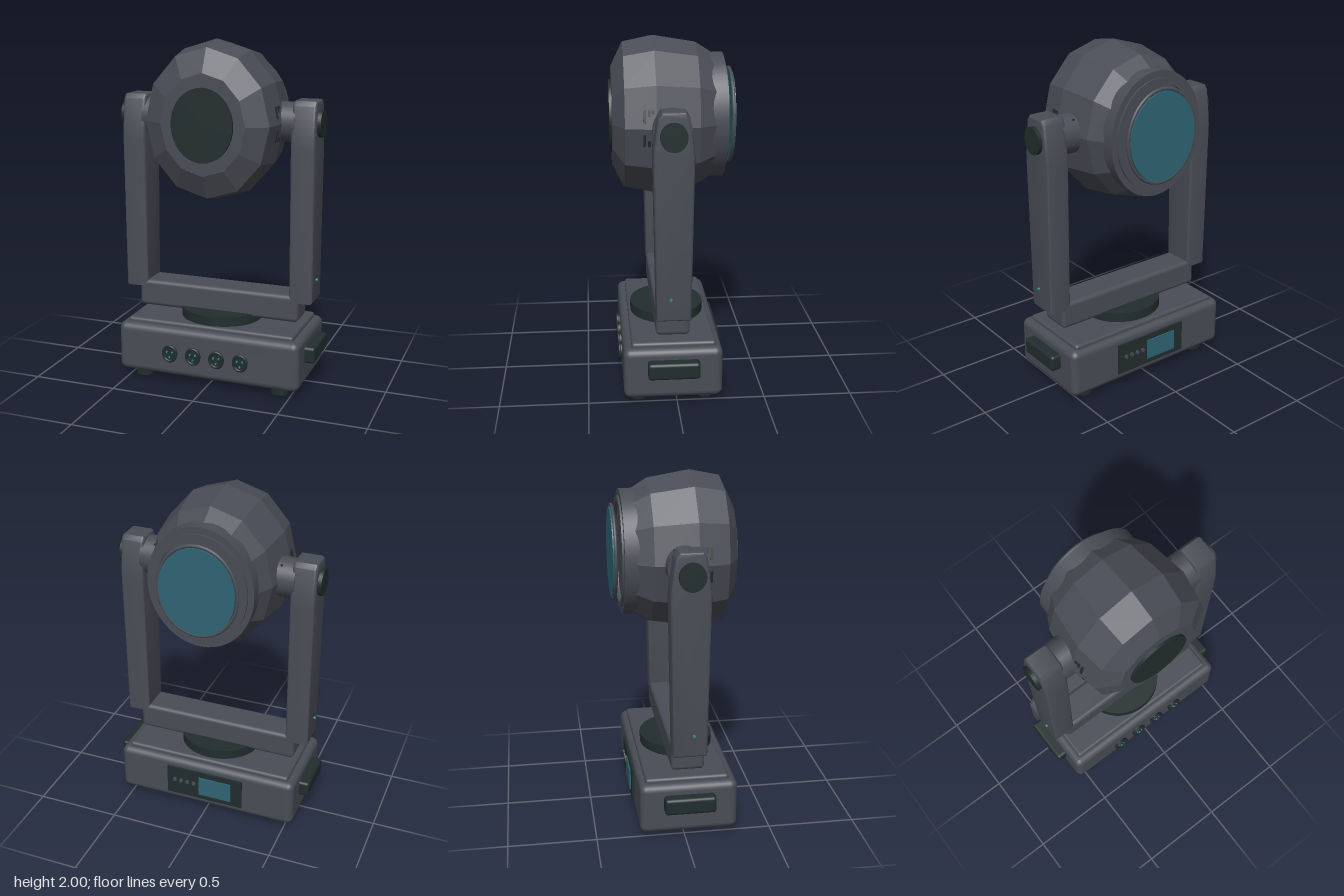
import * as THREE from 'three';
import { toCreasedNormals } from 'three/addons/utils/BufferGeometryUtils.js';
import { RoundedBoxGeometry } from 'three/addons/geometries/RoundedBoxGeometry.js';

const paint = (name, color) => {
  const m = new THREE.MeshStandardMaterial({ color });
  m.name = name;
  return m;
};

export function createModel() {
  const model = new THREE.Group();
  model.name = 'movingHeadLight';
  const grey = paint('housingGrey', 0x4a4d56);
  const dark = paint('darkTrim', 0x222d2d);
  const blue = paint('lensBlue', 0x2f6573);
  const teal = paint('indicatorTeal', 0x2a9088);

  const SQUASH = 0.868; // the head is narrower in x than in y
  const HEAD_Y = 1.545;
  const MID_Z = 0.0225;

  const add = (name, geometry, material, x = 0, y = 0, z = 0, parent = model) => {
    const mesh = new THREE.Mesh(geometry, material);
    mesh.name = name;
    mesh.position.set(x, y, z);
    parent.add(mesh);
    return mesh;
  };
  const rounded = (w, h, d, r) => new RoundedBoxGeometry(w, h, d, 3, r);
  const box = (w, h, d) => new THREE.BoxGeometry(w, h, d);
  // Elliptical discs facing each axis
  const discZ = (rx, ry, depth, n = 40) =>
    new THREE.CylinderGeometry(1, 1, depth, n).rotateX(Math.PI / 2).scale(rx, ry, 1);
  const discX = (ry, rz, depth, n = 32) =>
    new THREE.CylinderGeometry(1, 1, depth, n).rotateZ(Math.PI / 2).scale(1, ry, rz);
  const discY = (rx, rz, depth, n = 32) =>
    new THREE.CylinderGeometry(1, 1, depth, n).scale(rx, 1, rz);
  // Turned shape around z, from [radius, z] pairs running back to front
  const turnedZ = (profile, n) =>
    new THREE.LatheGeometry(profile.map(([r, z]) => new THREE.Vector2(r, z)), n)
      .rotateX(Math.PI / 2).scale(SQUASH, 1, 1);

  // Base
  add('base', rounded(1.11, 0.295, 0.555, 0.04), grey, 0, 0.1875, MID_Z);
  add('baseTopPlate', rounded(1.02, 0.07, 0.475, 0.018), grey, 0, 0.325, 0.0175);
  for (const x of [-0.425, 0.425])
    for (const z of [-0.165, 0.215])
      add('foot', discY(0.052, 0.046, 0.06, 24), dark, x, 0.03, z);
  for (const s of [-1, 1])
    add('sideHandle', rounded(0.08, 0.097, 0.29, 0.018), dark, s * 0.575, 0.2275, 0.0225);

  // Front sockets with three pins each
  for (const x of [-0.22, -0.075, 0.07, 0.215]) {
    const socket = new THREE.Group();
    socket.name = 'socket';
    socket.position.set(x, 0.185, 0.3);
    model.add(socket);
    add('socketFace', discZ(0.044, 0.05, 0.02, 28), dark, 0, 0, 0.003, socket);
    add('socketRim', new THREE.TorusGeometry(0.043, 0.008, 8, 28).scale(0.94, 1.06, 1),
      dark, 0, 0, 0.014, socket);
    for (let i = 0; i < 3; i++) {
      const a = Math.PI / 6 + i * Math.PI * 2 / 3;
      add('socketPin', discZ(0.005, 0.006, 0.01, 10), teal,
        Math.cos(a) * 0.019, Math.sin(a) * 0.021, 0.016, socket);
    }
  }

  // Rear control panel
  add('controlPanel', box(0.48, 0.19, 0.02), dark, 0, 0.19, -0.258);
  add('displayScreen', box(0.205, 0.125, 0.008), blue, -0.07, 0.19, -0.271);
  for (let i = 0; i < 4; i++)
    add('panelButton', discZ(0.012, 0.013, 0.01, 16), grey, 0.19 - i * 0.041, 0.2, -0.271);

  // Yoke
  add('turntable', discY(0.24, 0.215, 0.065, 40), dark, 0, 0.385, 0.025);
  add('yokeCrossbar', rounded(0.99, 0.16, 0.19, 0.025), grey, 0, 0.475, MID_Z);
  const side = new THREE.Shape([
    [-0.117, 0.515], [0.072, 0.515], [0.088, 1.42], [0.084, 1.48], [0.06, 1.645], [0.04, 1.672],
    [-0.085, 1.672], [-0.105, 1.645], [-0.129, 1.48], [-0.133, 1.42],
  ].map(([x, y]) => new THREE.Vector2(x, y)));
  const armGeometry = toCreasedNormals(new THREE.ExtrudeGeometry(side, {
    depth: 0.106, bevelThickness: 0.017, bevelSize: 0.017, bevelOffset: -0.017, bevelSegments: 3,
  }).translate(0, 0, -0.053).rotateY(Math.PI / 2), 0.5);
  for (const s of [-1, 1]) {
    add('yokeArm', armGeometry, grey, s * 0.51, 0, 0);
    add('pivotCap', discX(0.078, 0.073, 0.03), dark, s * 0.587, HEAD_Y, 0.025);
    add('pivotHub', discX(0.1125, 0.106, 0.14), grey, s * 0.39, HEAD_Y, 0.02);
    add('armIndicator', discX(0.008, 0.008, 0.014, 12), teal, s * 0.584, 0.645, 0.04);
    for (const v of [-1, 1])
      add('hubNotch', box(0.014, 0.012, 0.012), dark, s * 0.375, HEAD_Y + v * 0.089, -0.04);
  }

  // Head
  const head = new THREE.Group();
  head.name = 'head';
  head.position.y = HEAD_Y;
  model.add(head);
  const shell = turnedZ([[0, -0.27], [0.3, -0.27], [0.355, -0.235], [0.415, -0.14], [0.455, 0.1],
    [0.42, 0.27], [0.285, 0.335], [0, 0.335]], 12).toNonIndexed();
  shell.computeVertexNormals();
  add('headShell', shell, grey, 0, 0, 0, head);
  add('headFrontCap', discZ(0.18, 0.207, 0.03), dark, 0, 0, 0.335, head);
  const collar = turnedZ([[0, -0.285], [0.285, -0.285], [0.285, -0.306], [0.317, -0.306],
    [0.317, -0.295], [0.356, -0.295], [0.356, -0.12]], 48);
  add('lensCollar', toCreasedNormals(collar, 0.5), grey, 0, 0, 0, head);
  add('lensRim', new THREE.TorusGeometry(0.265, 0.011, 10, 48).scale(SQUASH, 1, 0.9),
    grey, 0, 0, -0.336, head);
  add('lens', discZ(0.221, 0.255, 0.016, 48), blue, 0, 0, -0.343, head);

  // Cooling slots beside the pivots, lying on the shell's sloping facets
  const slope = (1 - Math.cos(Math.PI / 6)) * SQUASH / Math.sin(Math.PI / 6);
  for (const s of [-1, 1])
    for (const v of [-1, 1])
      for (const [z, low] of [[0.165, 0.03], [0.14, 0.065], [0.12, 0.08]]) {
        const y = (0.1 + low) / 2;
        const x = (0.455 - 0.206 * (z - 0.1)) * SQUASH - slope * y;
        const slot = add('coolingSlot', box(0.009, 0.1 - low, 0.015), dark, s * x, v * y, z, head);
        slot.rotation.z = s * v * Math.atan(slope);
      }

  return model;
}
